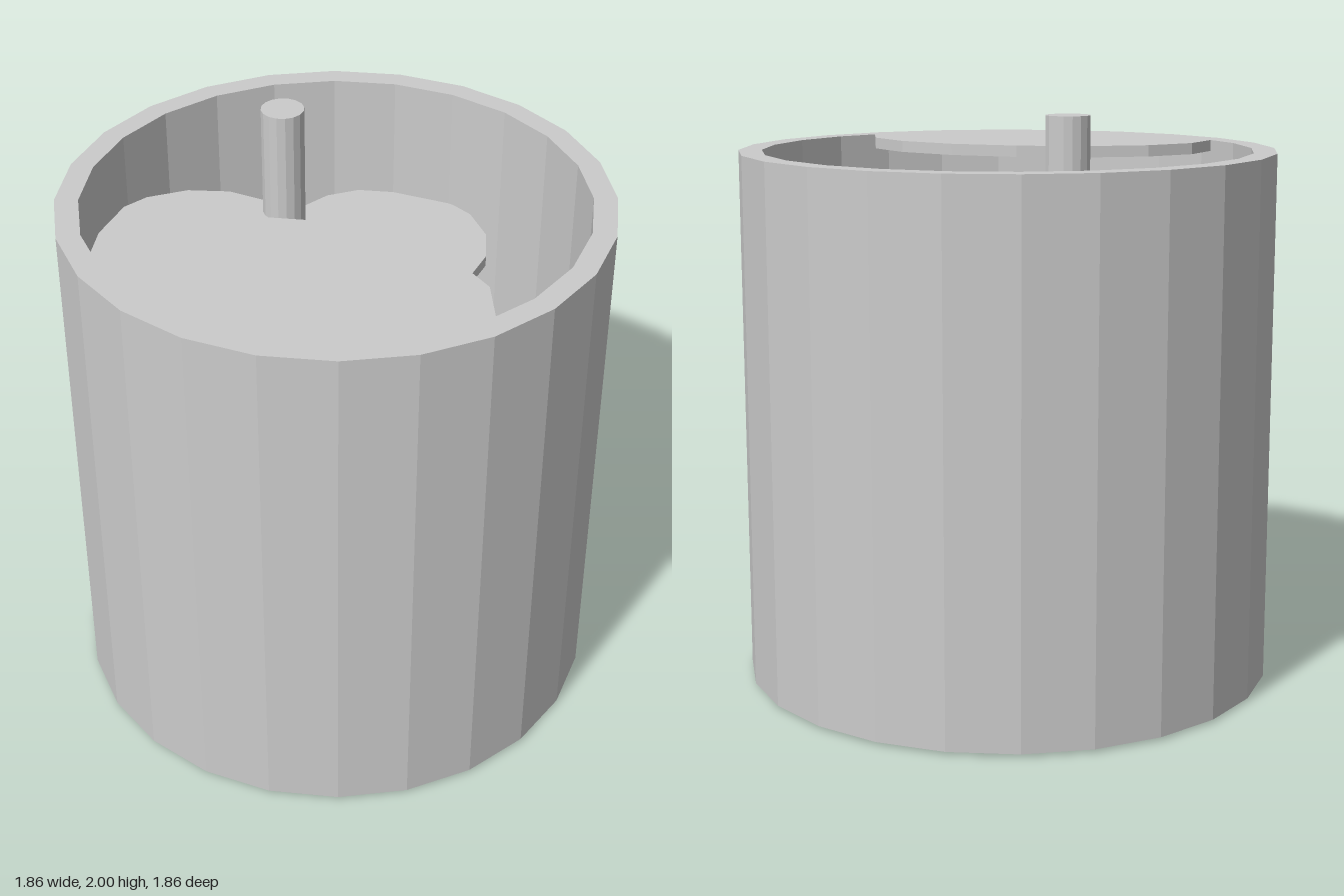
import * as THREE from 'three';

const material = new THREE.MeshStandardMaterial({ color: 0xcccccc, flatShading: true });

function add(group, name, geometry, x = 0, y = 0, z = 0) {
  const mesh = new THREE.Mesh(geometry, material);
  mesh.name = name;
  mesh.position.set(x, y, z);
  group.add(mesh);
  return mesh;
}

export function createModel() {
  const group = new THREE.Group();
  group.name = 'drumWithPlatforms';

  // Open 24-sided drum: outer wall, rim, inner wall and floor
  const profile = [
    [0, 0.01], [0.93, 0.01], [0.93, 1.86], [0.85, 1.86], [0.85, 0.09], [0, 0.09],
  ].map(([r, y]) => new THREE.Vector2(r, y));
  add(group, 'drum', new THREE.LatheGeometry(profile, 24));

  // Off-centre pole running through the floor
  add(group, 'pole', new THREE.CylinderGeometry(0.075, 0.075, 2, 16), -0.27, 1, -0.31);

  // Round platforms stepping down in a spiral: name, x, top height, z
  const thickness = 0.04;
  const platforms = [
    ['leftHandPlatform', -0.495, 1.6, 0],
    ['backPlatform', 0.04, 1.41, -0.49],
    ['rightHandPlatform', 0.48, 1.21, 0.17],
    ['polePlatform', -0.27, 1.0, -0.31],
  ];
  for (const [name, x, top, z] of platforms) {
    add(group, name, new THREE.CylinderGeometry(0.387, 0.387, thickness, 16), x, top - thickness / 2, z);
  }

  // Wide oval platform flush with the rim, its front edge kept inside the wall
  const oval = new THREE.CylinderGeometry(1, 1, thickness, 16);
  oval.scale(0.64, 1, 0.405).translate(0, 0, 0.55);
  const p = oval.attributes.position;
  for (let i = 0; i < p.count; i++) {
    const k = Math.min(1, 0.9 / Math.hypot(p.getX(i), p.getZ(i)));
    p.setX(i, p.getX(i) * k);
    p.setZ(i, p.getZ(i) * k);
  }
  add(group, 'rimPlatform', oval, 0, 1.86 - thickness / 2, 0);

  return group;
}
